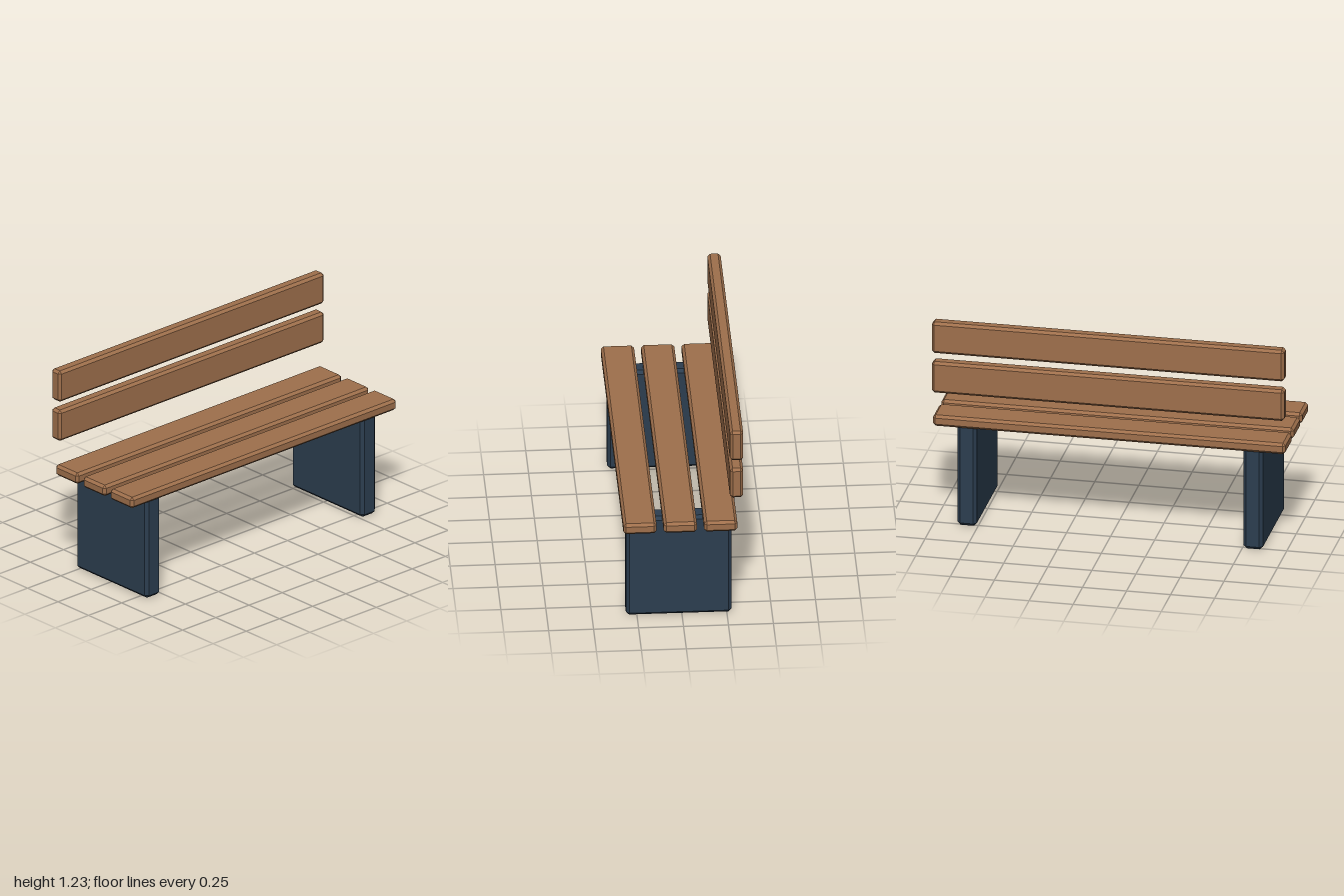
import * as THREE from 'three';
import { ConvexGeometry } from 'three/addons/geometries/ConvexGeometry.js';

// Box with every edge and corner chamfered by c
function chamferedBox(w, h, d, c) {
  const half = [w / 2, h / 2, d / 2];
  const points = [];
  for (const sx of [-1, 1]) for (const sy of [-1, 1]) for (const sz of [-1, 1]) {
    // one point per face meeting at this corner
    for (let face = 0; face < 3; face++) {
      const [x, y, z] = half.map((v, axis) => (axis === face ? v : v - c));
      points.push(new THREE.Vector3(sx * x, sy * y, sz * z));
    }
  }
  return new ConvexGeometry(points);
}

export function createModel() {
  const model = new THREE.Group();
  model.name = 'bench';
  const wood = new THREE.MeshStandardMaterial({ color: 0x9f704c });
  wood.name = 'wood';
  const slate = new THREE.MeshStandardMaterial({ color: 0x2c3e50 });
  slate.name = 'slate blue';

  function add(name, geometry, material, x, y, z) {
    const mesh = new THREE.Mesh(geometry, material);
    mesh.name = name;
    mesh.position.set(x, y, z);
    model.add(mesh);
  }

  // Panel legs
  const leg = chamferedBox(0.11, 0.625, 0.588, 0.018);
  add('leftLeg', leg, slate, 0.812, 0.3125, 0.017);
  add('rightLeg', leg, slate, -0.812, 0.3125, 0.017);

  // Three seat slats, front to back
  const seatSlat = chamferedBox(2, 0.066, 0.185, 0.015);
  [0.241, 0.017, -0.208].forEach((z, i) => add(`seatSlat${i + 1}`, seatSlat, wood, 0, 0.628, z));

  // Two backrest slats
  const backSlat = chamferedBox(2, 0.187, 0.074, 0.015);
  [0.902, 1.14].forEach((y, i) => add(`backSlat${i + 1}`, backSlat, wood, 0, y, -0.296));

  return model;
}
